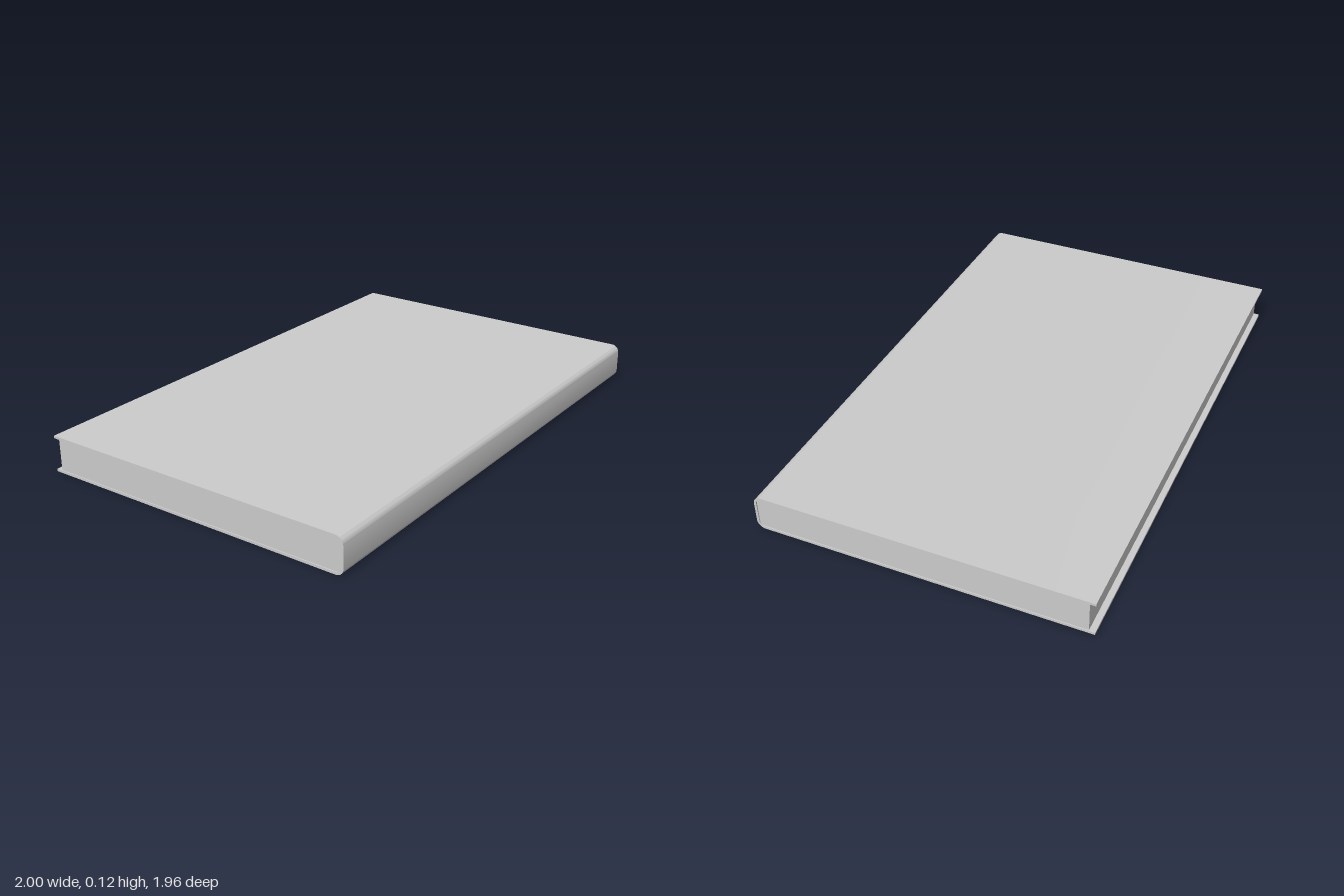
import * as THREE from 'three';
import { toCreasedNormals } from 'three/addons/utils/BufferGeometryUtils.js';

const LENGTH = 1.713, WIDTH = 1.085, HEIGHT = 0.12;
const COVER = 0.008, RADIUS = 0.026;
const FRONT = WIDTH / 2, BACK = -WIDTH / 2;

// Adds the outline of a slab end: straight at the back, rounded at the spine.
function spineCurve(path, back, inset) {
  const r = RADIUS - inset, c = FRONT - RADIUS;
  path.moveTo(back, inset);
  path.lineTo(c, inset);
  path.absarc(c, RADIUS, r, -Math.PI / 2, 0, false);
  path.lineTo(FRONT - inset, HEIGHT - RADIUS);
  path.absarc(c, HEIGHT - RADIUS, r, 0, Math.PI / 2, false);
  path.lineTo(back, HEIGHT - inset);
  return path;
}

// Extrudes a cross-section along the spine direction, keeping the rounding smooth.
function extrudeAlongSpine(shape, length, name) {
  const geometry = new THREE.ExtrudeGeometry(shape, { depth: length, bevelEnabled: false, curveSegments: 8 });
  geometry.rotateY(-Math.PI / 2).translate(length / 2, 0, 0);
  const mesh = new THREE.Mesh(
    toCreasedNormals(geometry, 0.6),
    new THREE.MeshStandardMaterial({ color: 0xcccccc })
  );
  mesh.name = name;
  return mesh;
}

export function createModel() {
  const book = new THREE.Group();
  book.name = 'book';

  // Cover: one thin sheet wrapped around the spine
  const cover = spineCurve(new THREE.Shape(), BACK, 0);
  const inner = spineCurve(new THREE.Path(), BACK, COVER).getPoints(8).reverse();
  inner.forEach((p) => cover.lineTo(p.x, p.y));
  cover.closePath();
  book.add(extrudeAlongSpine(cover, LENGTH, 'cover'));

  // Page block, set back from the open edge
  const pages = spineCurve(new THREE.Shape(), BACK + 0.019, COVER + 0.0005);
  pages.closePath();
  book.add(extrudeAlongSpine(pages, LENGTH - 0.006, 'pages'));

  // The book lies turned on the ground
  book.rotation.y = 0.74;
  const model = new THREE.Group();
  model.name = 'lyingBook';
  model.add(book);
  return model;
}
